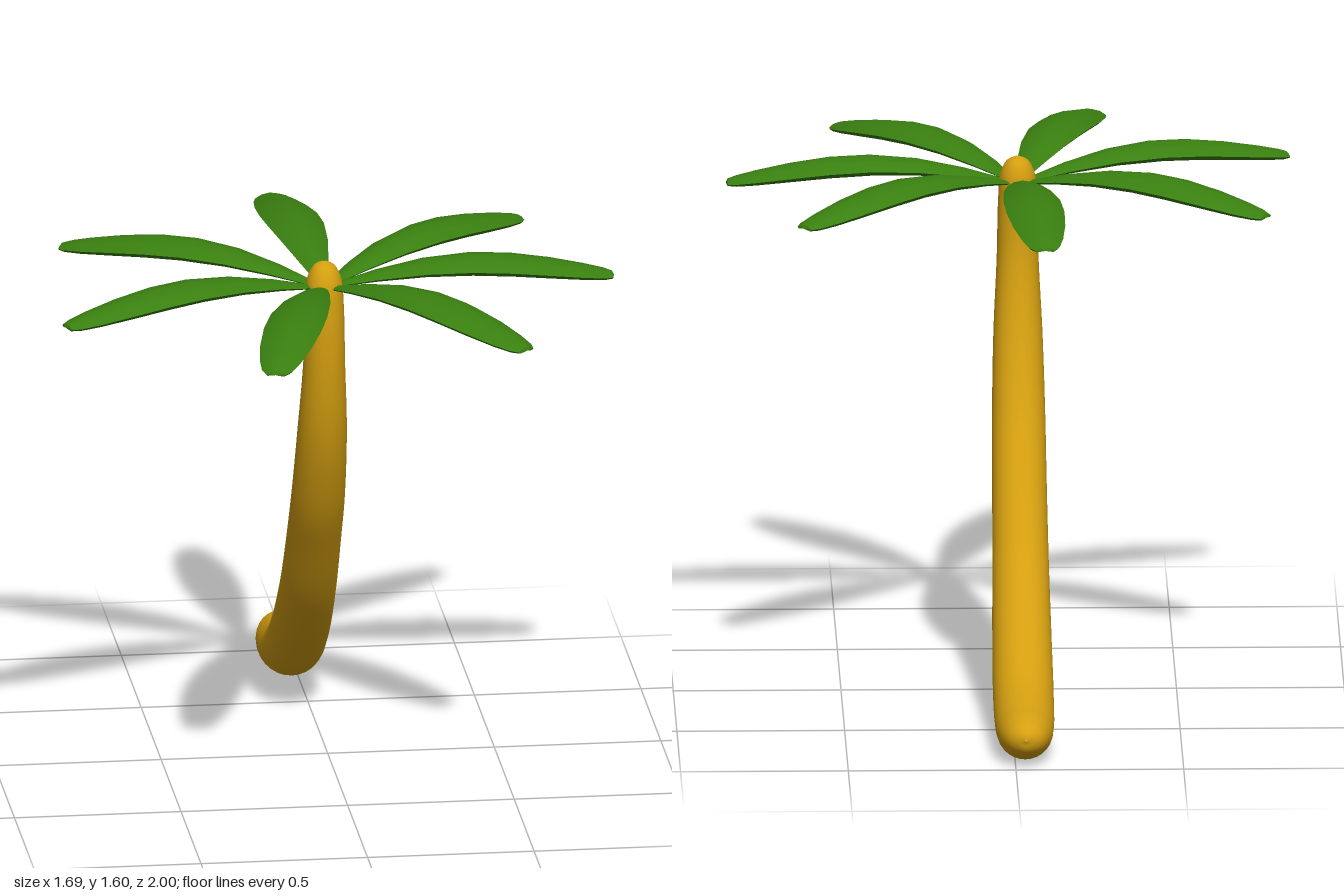
import * as THREE from 'three';
import { toCreasedNormals } from 'three/addons/utils/BufferGeometryUtils.js';

// Skin a list of closed rings (arrays of Vector3, counter-clockwise about the path)
function loft(rings) {
  const n = rings[0].length;
  const index = [];
  for (let i = 0; i < rings.length - 1; i++) {
    for (let j = 0; j < n; j++) {
      const a = i * n + j, b = i * n + (j + 1) % n;
      index.push(a, b, a + n, b, b + n, a + n);
    }
  }
  const geometry = new THREE.BufferGeometry().setFromPoints(rings.flat());
  geometry.setIndex(index);
  geometry.computeVertexNormals();
  return geometry;
}

// Curved trunk: each control point is (z, y, radius), from the domed top to the rounded foot
function trunkGeometry() {
  const path = new THREE.CatmullRomCurve3([
    [0.16, 1.605, 0.003], [0.16, 1.59, 0.034], [0.162, 1.55, 0.055], [0.168, 1.475, 0.062],
    [0.163, 1.287, 0.067], [0.118, 1.072, 0.078], [0.02, 0.84, 0.084], [-0.088, 0.67, 0.085],
    [-0.244, 0.456, 0.087], [-0.442, 0.263, 0.09], [-0.635, 0.14, 0.09], [-0.823, 0.09, 0.084],
    [-0.91, 0.088, 0.071], [-0.965, 0.092, 0.05], [-0.992, 0.095, 0.024], [-1, 0.095, 0.002],
  ].map((p) => new THREE.Vector3(...p)));
  const rings = [], steps = 90, sides = 28;
  for (let i = 0; i <= steps; i++) {
    const t = i / steps;
    const p = path.getPoint(t), d = path.getTangent(t);
    const dir = new THREE.Vector2(d.x, d.y).normalize();
    const r = Math.max(p.z, 0.001);
    const rx = r * (0.93 + 0.25 * t ** 3); // slightly wider than deep near the foot
    const ring = [];
    for (let j = 0; j < sides; j++) {
      const a = (j / sides) * Math.PI * 2;
      const s = Math.sin(a) * r;
      ring.push(new THREE.Vector3(Math.cos(a) * rx, p.y + dir.x * s, p.x - dir.y * s));
    }
    rings.push(ring);
  }
  return loft(rings);
}

// Arched leaf along +x: stations are (distance, ridge height, half width)
function leafGeometry() {
  const stations = [
    [0.035, 1.53, 0.002], [0.04, 1.535, 0.018], [0.16, 1.568, 0.045], [0.3, 1.596, 0.07],
    [0.44, 1.607, 0.085], [0.56, 1.601, 0.087], [0.68, 1.583, 0.078], [0.78, 1.562, 0.062],
    [0.84, 1.547, 0.046], [0.865, 1.538, 0.03], [0.87, 1.528, 0.002],
  ];
  // Domed top, drooping rims and hollow underside, as (z, y) per half width
  const section = [
    [0, 0], [0.57, -0.1], [1, -0.36], [0.82, -0.52],
    [0, -0.3], [-0.82, -0.52], [-1, -0.36], [-0.57, -0.1],
  ];
  const rings = stations.map(([x, y, w]) =>
    section.map(([sz, sy]) => new THREE.Vector3(x, y + sy * w, sz * w)));
  return toCreasedNormals(loft(rings), 0.5);
}

export function createModel() {
  const model = new THREE.Group();
  model.name = 'palmTree';
  const bark = new THREE.MeshStandardMaterial({ color: 0xd49f10 });
  const green = new THREE.MeshStandardMaterial({ color: 0x3a8010 });

  const trunk = new THREE.Mesh(trunkGeometry(), bark);
  trunk.name = 'trunk';
  trunk.position.x = -0.03;
  model.add(trunk);

  // Crown of seven leaves around the trunk top
  const crown = new THREE.Group();
  crown.name = 'crown';
  crown.position.set(-0.03, 0, 0.158);
  const leaf = leafGeometry();
  [-94.2, -41.5, 0, 52.7, 106.4, 159.1, 212.5].forEach((angle, i) => {
    const mesh = new THREE.Mesh(leaf, green);
    mesh.name = `leaf${i + 1}`;
    mesh.rotation.y = -THREE.MathUtils.degToRad(angle);
    crown.add(mesh);
  });
  model.add(crown);
  return model;
}
